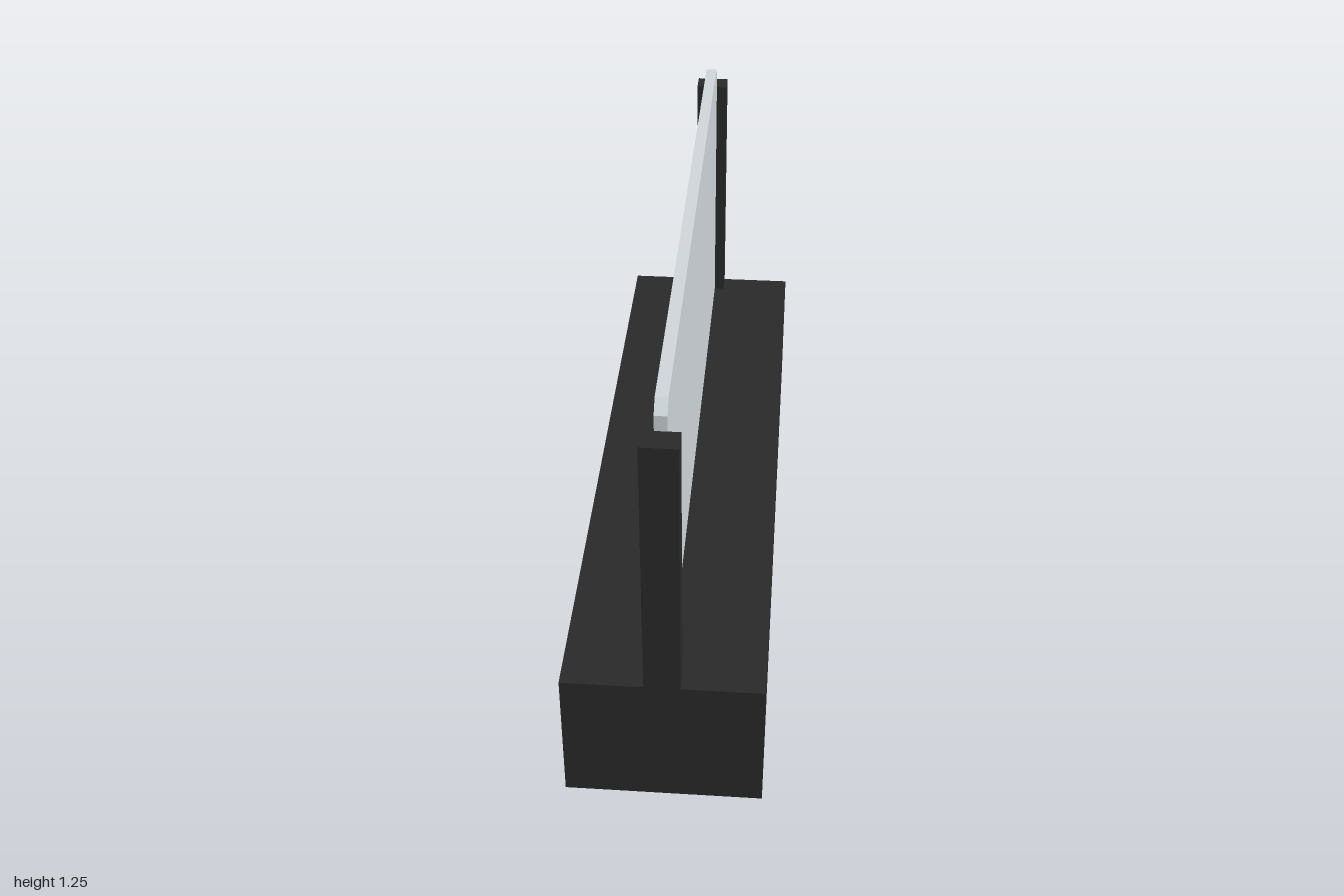
import * as THREE from 'three';

export function createModel() {
  const model = new THREE.Group();
  const dark = new THREE.MeshStandardMaterial({ color: 0x2a2a2a });
  const pale = new THREE.MeshStandardMaterial({ color: 0xd0d7da });

  const baseHeight = 0.4, postTop = 1.17, panelTop = 1.245;
  const postDepth = 0.065, panelHalf = 1 - postDepth, panelThickness = 0.032, chamfer = 0.032;

  function add(name, geometry, material, x, y, z) {
    const mesh = new THREE.Mesh(geometry, material);
    mesh.name = name;
    mesh.position.set(x, y, z);
    model.add(mesh);
  }

  // Solid plinth
  add('base', new THREE.BoxGeometry(0.53, baseHeight, 2), dark, 0, baseHeight / 2, 0);

  // End posts holding the panel
  const postHeight = postTop - baseHeight;
  for (const [name, side] of [['frontPost', 1], ['backPost', -1]]) {
    add(name, new THREE.BoxGeometry(0.095, postHeight, postDepth), dark,
      0, baseHeight + postHeight / 2, side * (1 - postDepth / 2));
  }

  // Upright panel with chamfered top corners, turned to run along z
  const outline = new THREE.Shape([
    [-panelHalf, baseHeight],
    [panelHalf, baseHeight],
    [panelHalf, panelTop - chamfer],
    [panelHalf - chamfer, panelTop],
    [-panelHalf + chamfer, panelTop],
    [-panelHalf, panelTop - chamfer],
  ].map(([x, y]) => new THREE.Vector2(x, y)));
  const panel = new THREE.ExtrudeGeometry(outline, { depth: panelThickness, bevelEnabled: false });
  panel.translate(0, 0, -panelThickness / 2).rotateY(Math.PI / 2);
  add('panel', panel, pale, 0, 0, 0);

  return model;
}
